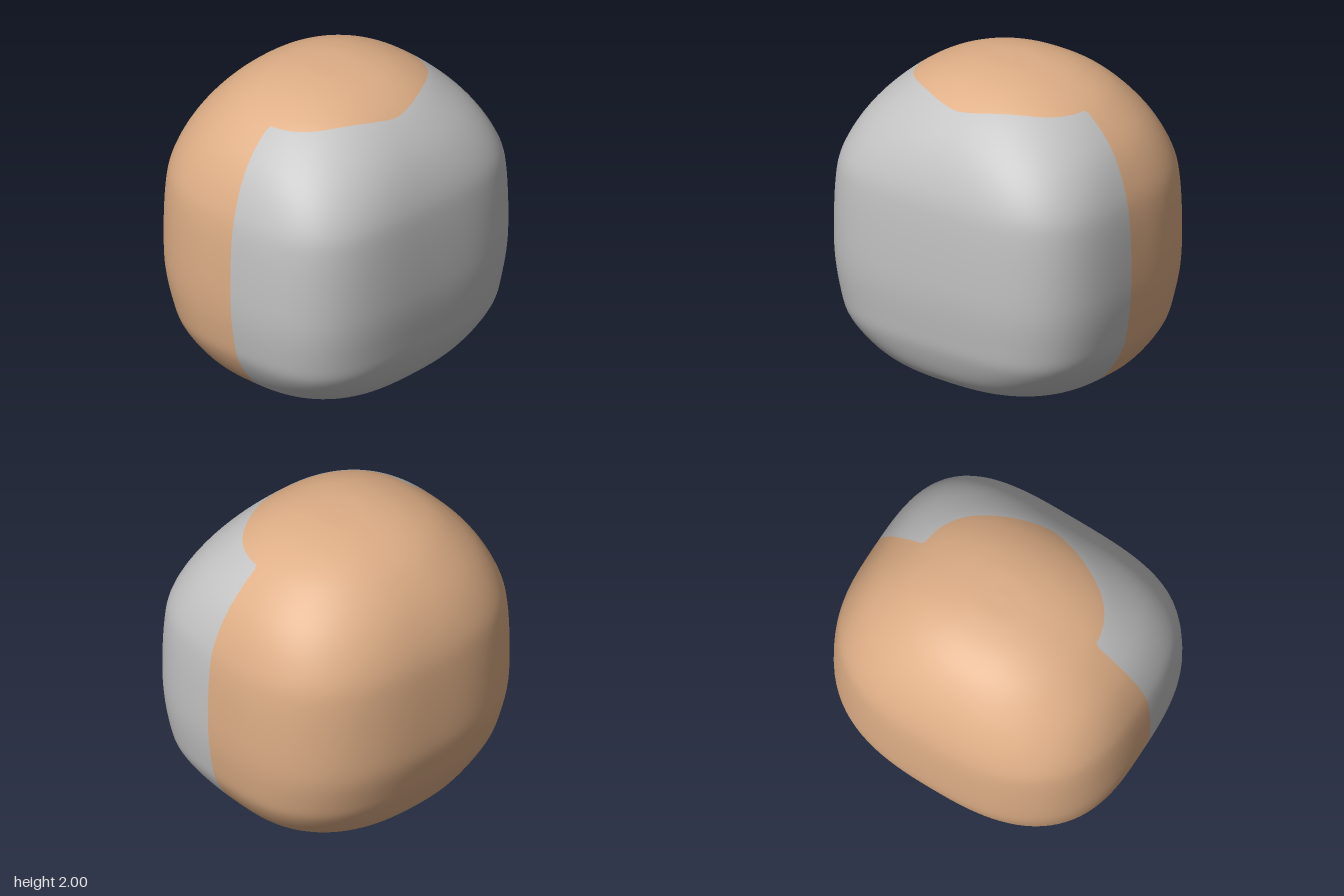
import * as THREE from 'three';

const COLS = 120, ROWS = 104;
const { smoothstep } = THREE.MathUtils;

// Vertical profile: half width, height, half depth
const profile = new THREE.CatmullRomCurve3([
  [0, 0.005, 0], [0.22, 0.01, 0.2], [0.45, 0.04, 0.4], [0.62, 0.1, 0.57], [0.75, 0.19, 0.69],
  [0.87, 0.36, 0.775], [0.92, 0.52, 0.81], [0.953, 0.8, 0.84], [0.945, 1.2, 0.835], [0.9, 1.43, 0.8],
  [0.79, 1.65, 0.7], [0.61, 1.83, 0.545], [0.41, 1.935, 0.375], [0.2, 1.988, 0.185], [0, 2, 0],
].map(p => new THREE.Vector3(...p)), false, 'catmullrom', 0.5);

// Point on the rounded head: squarer at the front than at the back
function headPoint(u, angle) {
  const p = profile.getPoint(u);
  const c = Math.cos(angle), s = Math.sin(angle);
  const middle = smoothstep(p.y, 0, 0.4) * (1 - smoothstep(p.y, 1.3, 1.9));
  const n = s > 0 ? 2.35 + 1.15 * middle : 2.25 + 0.4 * middle;
  const r = (Math.abs(c) ** n + Math.abs(s) ** n) ** (-1 / n);
  const depth = s > 0 ? p.z : p.z * (1 - 0.07 * (1 - smoothstep(p.y, 0.2, 0.75)));
  return [p.x * r * c, p.y, depth * r * s];
}

// Positive on the face area, negative on the skin of the crown, back and base
function faceField({ x, y, z }) {
  const ax = Math.abs(x);
  let sideEdge = 0.1 - 0.03 * smoothstep(y, 1.3, 1.85) - 0.17 * Math.max(0, 1 - y / 0.4) ** 5;
  if (y < 0.2 && ax < 0.3) sideEdge += 0.1 * Math.sqrt(1 - (ax / 0.3) ** 2);
  const topEdge = 1.836 + 0.03 * Math.sin(Math.PI * Math.min(1, ax / 0.65)) ** 1.5;
  return Math.min(z - sideEdge, topEdge - y);
}

// Closed grid of the whole head with smooth normals
function headGrid() {
  const pos = [], index = [];
  for (let j = 0; j <= ROWS; j++)
    for (let i = 0; i < COLS; i++) pos.push(...headPoint(j / ROWS, (i / COLS) * Math.PI * 2));
  for (let j = 0; j < ROWS; j++)
    for (let i = 0; i < COLS; i++) {
      const k = (i + 1) % COLS;
      const a = j * COLS + i, b = j * COLS + k, c = a + COLS, d = b + COLS;
      if (j > 0) index.push(a, c, b);
      if (j < ROWS - 1) index.push(b, c, d);
    }
  const g = new THREE.BufferGeometry();
  g.setAttribute('position', new THREE.Float32BufferAttribute(pos, 3));
  g.setIndex(index);
  g.computeVertexNormals();
  // The poles point straight down and up
  for (let i = 0; i < COLS; i++) {
    g.attributes.normal.setXYZ(i, 0, -1, 0);
    g.attributes.normal.setXYZ(ROWS * COLS + i, 0, 1, 0);
  }
  return g;
}

// Keep the part of the grid where sign * faceField is positive, cutting triangles at the edge
function cutRegion(grid, sign) {
  const { position, normal } = grid.attributes;
  const verts = Array.from({ length: position.count }, (_, i) => {
    const p = new THREE.Vector3().fromBufferAttribute(position, i);
    return { p, n: new THREE.Vector3().fromBufferAttribute(normal, i), f: sign * faceField(p) };
  });
  const pos = [], nor = [], idx = grid.index.array;
  for (let t = 0; t < idx.length; t += 3) {
    const poly = [];
    for (let e = 0; e < 3; e++) {
      const a = verts[idx[t + e]], b = verts[idx[t + (e + 1) % 3]];
      if (a.f >= 0) poly.push(a);
      if ((a.f >= 0) !== (b.f >= 0)) {
        const k = a.f / (a.f - b.f);
        poly.push({ p: a.p.clone().lerp(b.p, k), n: a.n.clone().lerp(b.n, k).normalize() });
      }
    }
    for (let e = 1; e + 1 < poly.length; e++)
      for (const v of [poly[0], poly[e], poly[e + 1]]) {
        pos.push(...v.p.toArray());
        nor.push(...v.n.toArray());
      }
  }
  const g = new THREE.BufferGeometry();
  g.setAttribute('position', new THREE.Float32BufferAttribute(pos, 3));
  g.setAttribute('normal', new THREE.Float32BufferAttribute(nor, 3));
  return g;
}

export function createModel() {
  const group = new THREE.Group();
  group.name = 'head';
  const grey = new THREE.MeshStandardMaterial({ color: 0xc2c2c2 });
  grey.name = 'face grey';
  const tan = new THREE.MeshStandardMaterial({ color: 0xdeae86 });
  tan.name = 'skin tan';
  const grid = headGrid();
  for (const [name, sign, material] of [['face', 1, grey], ['skin', -1, tan]]) {
    const mesh = new THREE.Mesh(cutRegion(grid, sign), material);
    mesh.name = name;
    group.add(mesh);
  }
  return group;
}
